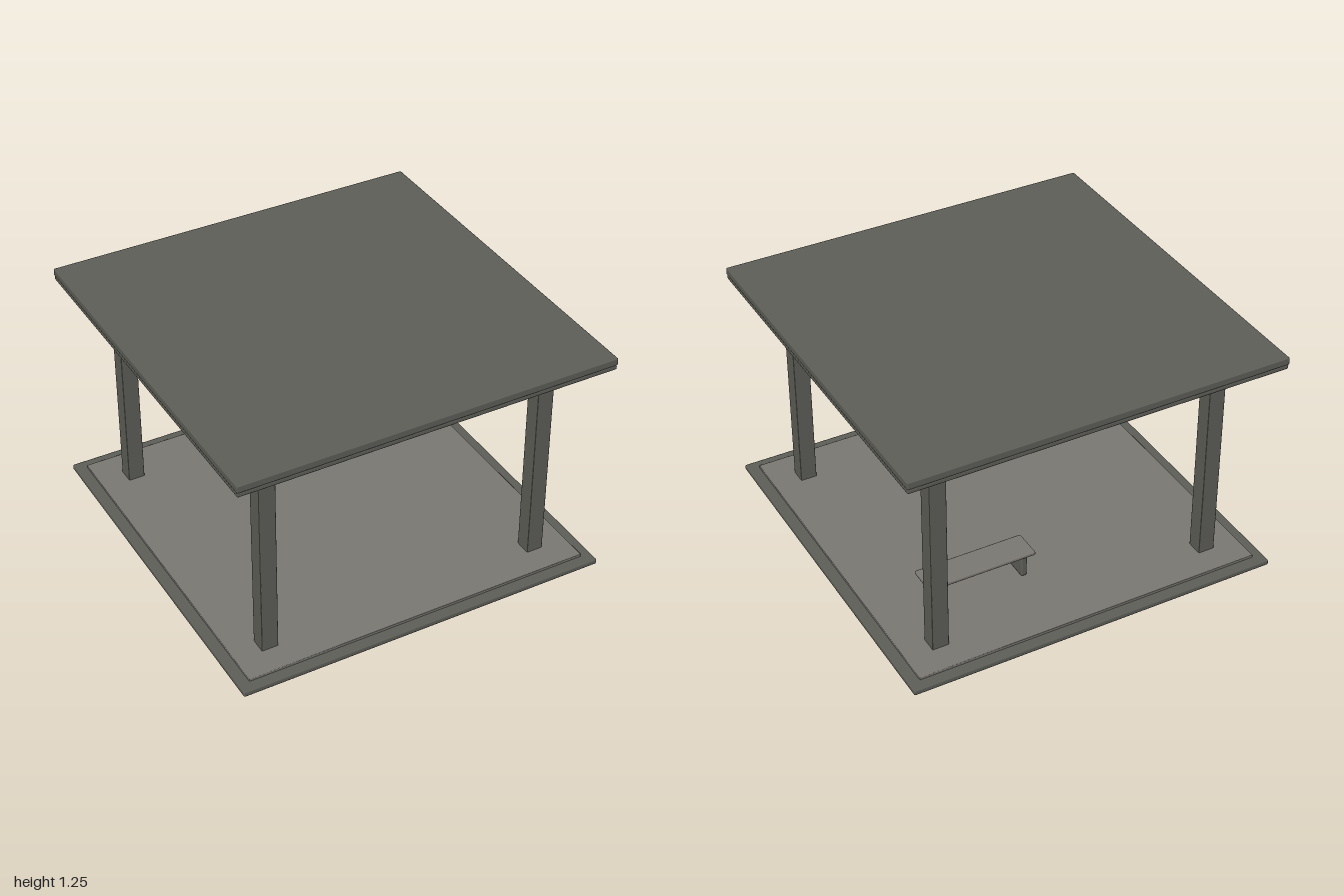
import * as THREE from 'three';
import { RoundedBoxGeometry } from 'three/addons/geometries/RoundedBoxGeometry.js';

export function createModel() {
  const group = new THREE.Group();
  group.name = 'pavilion';

  const stone = new THREE.MeshStandardMaterial({ color: 0x5e5f58 });
  stone.name = 'dark stone';
  const paving = new THREE.MeshStandardMaterial({ color: 0x7c7974 });
  paving.name = 'light paving';

  // Bevelled block given by its [min, max] range on each axis
  function block(name, material, [x0, x1], [y0, y1], [z0, z1], bevel, parent = group) {
    const geometry = new RoundedBoxGeometry(x1 - x0, y1 - y0, z1 - z0, 1, bevel);
    const mesh = new THREE.Mesh(geometry, material);
    mesh.name = name;
    mesh.position.set((x0 + x1) / 2, (y0 + y1) / 2, (z0 + z1) / 2);
    parent.add(mesh);
    return mesh;
  }

  // Stepped base
  block('baseSlab', stone, [-0.993, 0.993], [0, 0.03], [-0.993, 0.993], 0.008);
  block('floor', paving, [-0.935, 0.935], [0.02, 0.044], [-0.935, 0.935], 0.004);

  // Four corner posts
  for (const x of [-0.75, 0.75]) {
    for (const z of [-0.75, 0.75]) {
      block('post', stone, [x - 0.044, x + 0.044], [0.035, 1.2], [z - 0.044, z + 0.044], 0.004);
    }
  }

  // Two-layer flat roof
  block('roofSoffit', stone, [-0.998, 0.998], [1.192, 1.217], [-0.998, 0.998], 0.007);
  block('roofSlab', stone, [-1, 1], [1.217, 1.255], [-1, 1], 0.005);

  // Bench
  const bench = new THREE.Group();
  bench.name = 'bench';
  group.add(bench);
  block('benchSeat', paving, [0.094, 0.682], [0.17, 0.19], [-0.546, -0.388], 0.006, bench);
  for (const x of [0.147, 0.628]) {
    block('benchLeg', stone, [x - 0.017, x + 0.017], [0.043, 0.173], [-0.528, -0.406], 0.01, bench);
  }

  return group;
}
